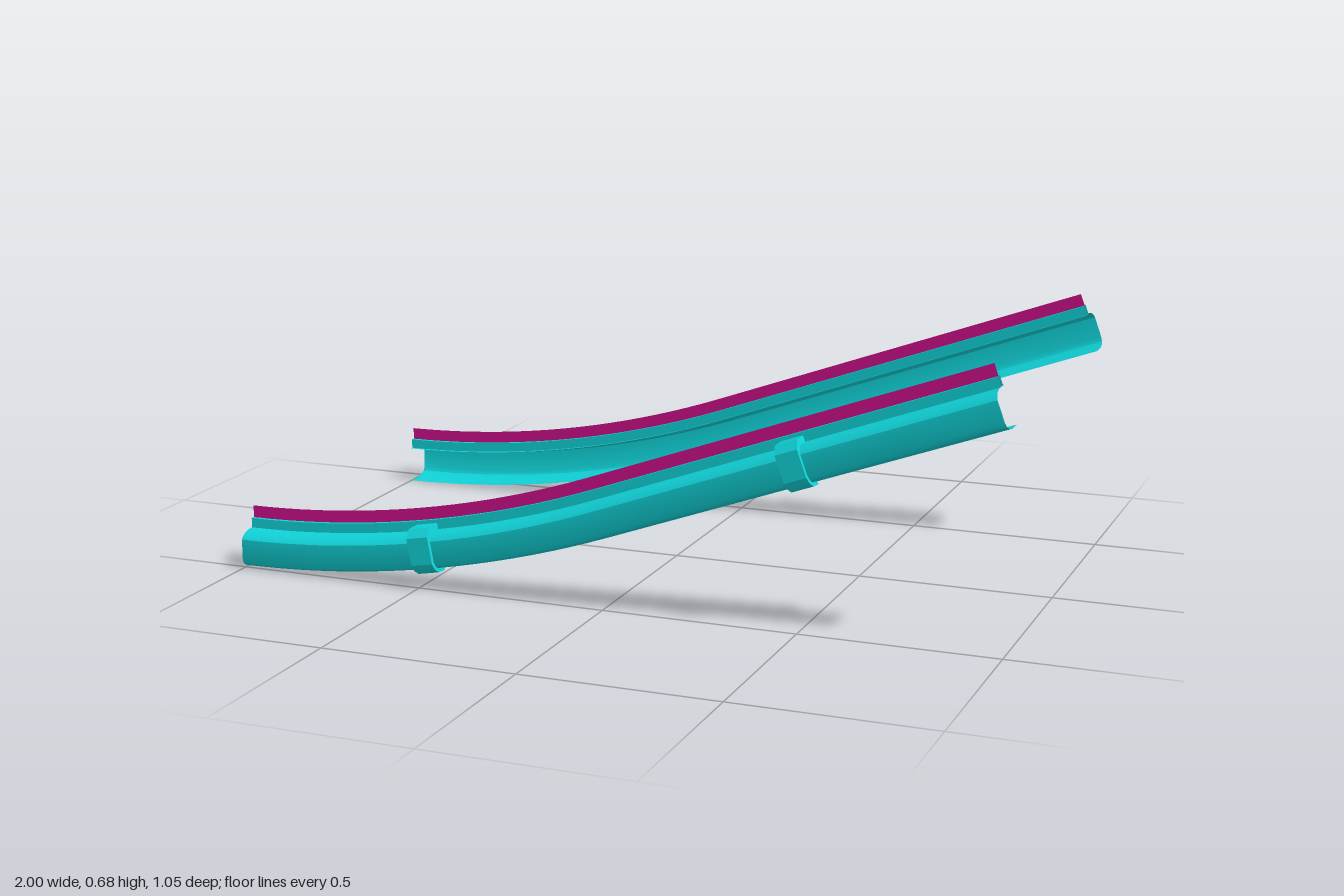
import * as THREE from 'three';
import { toCreasedNormals } from 'three/addons/utils/BufferGeometryUtils.js';

const SLOPE = THREE.MathUtils.degToRad(20);
const RADIUS = 2.92;
const ARC = RADIUS * SLOPE;
const LENGTH = ARC + 1 / Math.cos(SLOPE);

// Point and heading on the underside line: an arc running into a straight ramp
function pathAt(s) {
  const angle = Math.min(s, ARC) / RADIUS;
  const rest = Math.max(s - ARC, 0);
  return {
    angle,
    x: -1 + RADIUS * Math.sin(angle) + rest * Math.cos(angle),
    y: RADIUS * (1 - Math.cos(angle)) + rest * Math.sin(angle),
  };
}

// Sweep an open profile of [z, height] points along the path
function sweep(profile) {
  const stops = [];
  for (let i = 0; i <= 20; i++) stops.push((ARC * i) / 20);
  for (let i = 1; i <= 4; i++) stops.push(ARC + ((LENGTH - ARC) * i) / 4);
  const positions = [];
  const index = [];
  const n = profile.length;
  stops.forEach((s, i) => {
    const p = pathAt(s);
    for (const [z, h] of profile) {
      positions.push(p.x - h * Math.sin(p.angle), p.y + h * Math.cos(p.angle), z);
    }
    if (i === 0) return;
    for (let j = 0; j < n - 1; j++) {
      const a = (i - 1) * n + j;
      const b = i * n + j;
      index.push(a, a + 1, b, b, a + 1, b + 1);
    }
  });
  const geometry = new THREE.BufferGeometry();
  geometry.setAttribute('position', new THREE.Float32BufferAttribute(positions, 3));
  geometry.setIndex(index);
  return toCreasedNormals(geometry, 0.5);
}

function named(name, geometry, material) {
  const mesh = new THREE.Mesh(geometry, material);
  mesh.name = name;
  return mesh;
}

// C-shaped band in the cross-section plane, extruded along the rail
function clipGeometry(width) {
  const outline = [
    [0.457, 0.112], [0.507, 0.112], [0.527, 0.092], [0.527, 0.022],
    [0.518, 0.006], [0.5, -0.006], [0.467, -0.009],
    [0.467, 0], [0.497, 0.003], [0.509, 0.011], [0.516, 0.024],
    [0.516, 0.082], [0.5, 0.096], [0.457, 0.096],
  ];
  const shape = new THREE.Shape(outline.map(([z, h]) => new THREE.Vector2(z, h)));
  const geometry = new THREE.ExtrudeGeometry(shape, { depth: width, bevelEnabled: false });
  geometry.translate(0, 0, -width / 2);
  return toCreasedNormals(geometry, 0.5);
}

function createRail() {
  const rail = new THREE.Group();
  const teal = new THREE.MeshStandardMaterial({ color: 0x10d5da, side: THREE.DoubleSide });
  const magenta = new THREE.MeshStandardMaterial({ color: 0xd0108c, side: THREE.DoubleSide });

  // Thin channel, open toward the middle
  rail.add(named('channel', sweep([
    [0.43, 0], [0.475, 0], [0.495, 0.004], [0.508, 0.011], [0.514, 0.022],
    [0.514, 0.077], [0.507, 0.085], [0.495, 0.092], [0.475, 0.096], [0.43, 0.096],
  ]), teal));

  // Slotted holder on top of the channel
  rail.add(named('stripHolder', sweep([
    [0.439, 0.096], [0.439, 0.121], [0.449, 0.121], [0.449, 0.098],
    [0.452, 0.098], [0.452, 0.121], [0.462, 0.121], [0.462, 0.096],
  ]), teal));

  // Thin strip standing in the slot
  rail.add(named('edgeStrip', sweep([[0.4505, 0.098], [0.4505, 0.152]]), magenta));

  // Two clips gripping the outside
  const clip = clipGeometry(0.058);
  for (const s of [0.53, ARC + 0.51 / Math.cos(SLOPE)]) {
    const p = pathAt(s);
    const mesh = named('clip', clip, teal);
    mesh.position.set(p.x, p.y, 0);
    mesh.rotation.set(0, -Math.PI / 2, p.angle, 'ZYX');
    rail.add(mesh);
  }
  return rail;
}

export function createModel() {
  const model = new THREE.Group();
  model.name = 'rampRails';
  // Matching rails mirrored front to back
  for (const side of [1, -1]) {
    const rail = createRail();
    rail.name = side > 0 ? 'frontRail' : 'backRail';
    rail.scale.z = side;
    model.add(rail);
  }
  return model;
}
